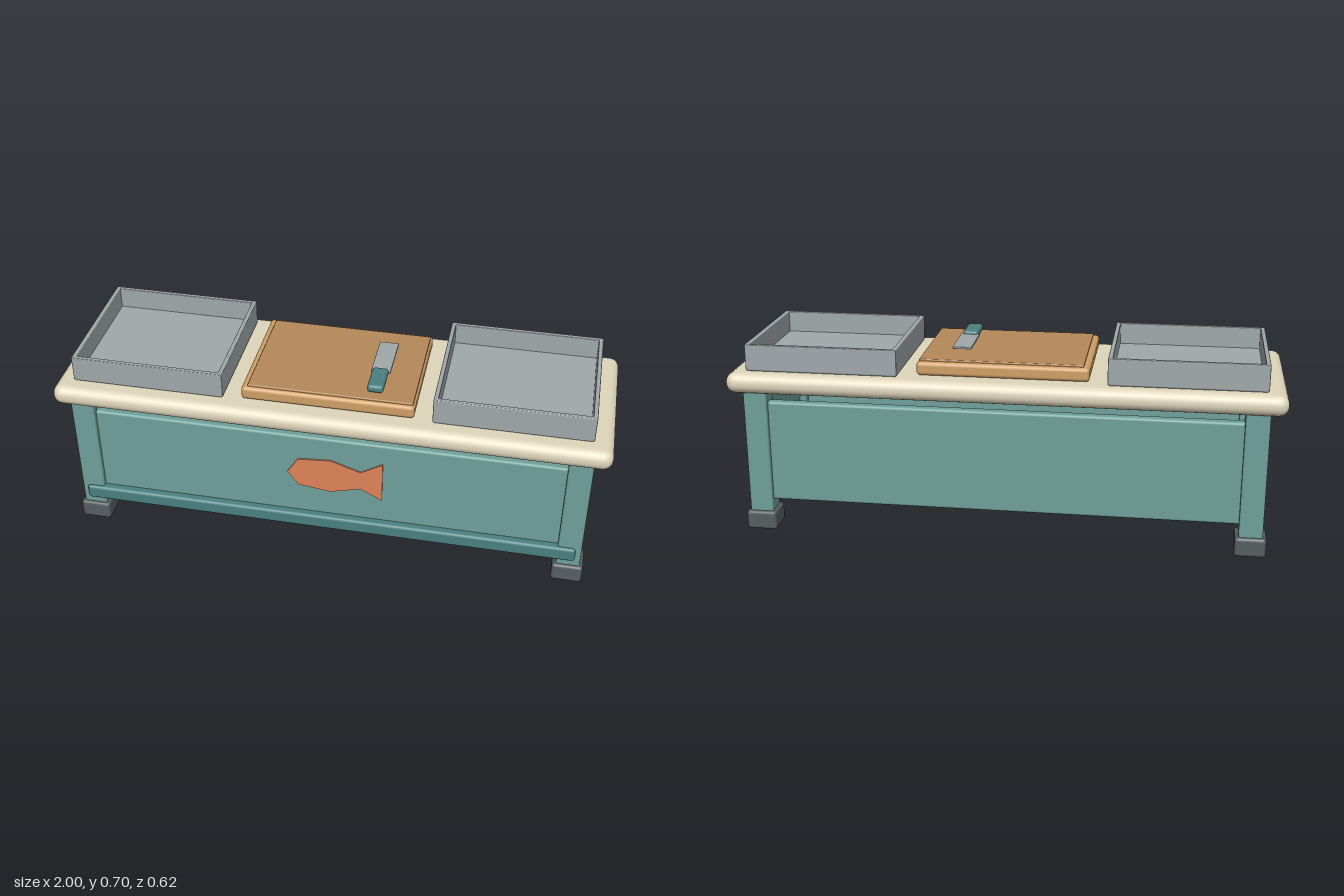
import * as THREE from 'three';
import { RoundedBoxGeometry } from 'three/addons/geometries/RoundedBoxGeometry.js';

const paint = (color) => new THREE.MeshStandardMaterial({ color });

export function createModel() {
  const model = new THREE.Group();
  model.name = 'preparationTable';

  const teal = paint(0x6f9f9a), darkTeal = paint(0x4a8080), cream = paint(0xe0d6bc);
  const rubber = paint(0x565e61), metal = paint(0xa0a8ab), wood = paint(0xd0a066);
  const darkWood = paint(0xb5895a), orange = paint(0xe0845a);

  // Rounded box given by its extents along each axis
  function block(name, material, [x0, x1], [y0, y1], [z0, z1], radius, parent = model) {
    const geometry = new RoundedBoxGeometry(x1 - x0, y1 - y0, z1 - z0, 3, radius);
    const mesh = new THREE.Mesh(geometry, material);
    mesh.position.set((x0 + x1) / 2, (y0 + y1) / 2, (z0 + z1) / 2);
    mesh.name = name;
    parent.add(mesh);
    return mesh;
  }

  // Worktop
  block('worktop', cream, [-1, 1], [0.53, 0.606], [-0.31, 0.31], 0.036);

  // Legs and feet
  for (const sx of [-1, 1]) {
    for (const sz of [-1, 1]) {
      const leg = new THREE.Group();
      leg.name = (sz > 0 ? 'front' : 'back') + (sx > 0 ? 'Left' : 'Right') + 'Leg';
      const x = sx * 0.898, z = sz * 0.239;
      block('post', teal, [x - 0.043, x + 0.043], [0.05, 0.55], [z - 0.044, z + 0.044], 0.008, leg);
      block('foot', rubber, [x - 0.056, x + 0.056], [0, 0.072], [z - 0.056, z + 0.056], 0.012, leg);
      model.add(leg);
    }
  }

  // Panels between the legs, open underneath
  for (const s of [-1, 1]) {
    const z = s * 0.245, x = s * 0.898;
    block(s > 0 ? 'frontPanel' : 'backPanel', teal,
      [-0.86, 0.86], [0.112, 0.494], [z - 0.02, z + 0.02], 0.01);
    block(s > 0 ? 'leftPanel' : 'rightPanel', teal,
      [x - 0.02, x + 0.02], [0.112, 0.49], [-0.197, 0.197], 0.008);
  }

  // Lower rail across the front
  block('frontRail', darkTeal, [-0.92, 0.92], [0.097, 0.153], [0.255, 0.295], 0.012);

  // Fish emblem on the front panel
  const outline = [
    [-0.14, 0.33], [-0.1, 0.275], [0.02, 0.26], [0.13, 0.29], [0.21, 0.249],
    [0.21, 0.414], [0.13, 0.366], [0.02, 0.403], [-0.1, 0.393],
  ].map(([x, y]) => new THREE.Vector2(x, y));
  const fish = new THREE.Mesh(
    new THREE.ExtrudeGeometry(new THREE.Shape(outline), { depth: 0.01, bevelEnabled: false }), orange);
  fish.position.z = 0.26;
  fish.name = 'fishEmblem';
  model.add(fish);

  // Open trays: a floor and four thin walls
  for (const s of [-1, 1]) {
    const tray = new THREE.Group();
    tray.name = s > 0 ? 'leftTray' : 'rightTray';
    const cx = s * 0.653, hx = 0.278, z0 = -0.26, z1 = 0.244, t = 0.016, wall = [0.612, 0.705];
    block('trayFloor', metal, [cx - hx, cx + hx], [0.606, 0.626], [z0, z1], 0.008, tray);
    for (const e of [-1, 1]) {
      const x = cx + e * (hx - t / 2);
      block('traySide', metal, [x - t / 2, x + t / 2], wall, [z0, z1], 0.003, tray);
    }
    block('trayBack', metal, [cx - hx, cx + hx], wall, [z0, z0 + t], 0.003, tray);
    block('trayFront', metal, [cx - hx, cx + hx], wall, [z1 - t, z1], 0.003, tray);
    model.add(tray);
  }

  // Cutting board with a darker working face
  block('cuttingBoard', wood, [-0.31, 0.31], [0.606, 0.656], [-0.23, 0.236], 0.014);
  block('boardFace', darkWood, [-0.288, 0.303], [0.645, 0.663], [-0.21, 0.222], 0.004);

  // Knife resting on the board
  const knife = new THREE.Group();
  knife.name = 'knife';
  block('blade', metal, [0.129, 0.199], [0.676, 0.684], [-0.11, 0.08], 0.002, knife);
  block('handle', darkTeal, [0.134, 0.192], [0.666, 0.696], [0.068, 0.192], 0.012, knife);
  model.add(knife);

  return model;
}
